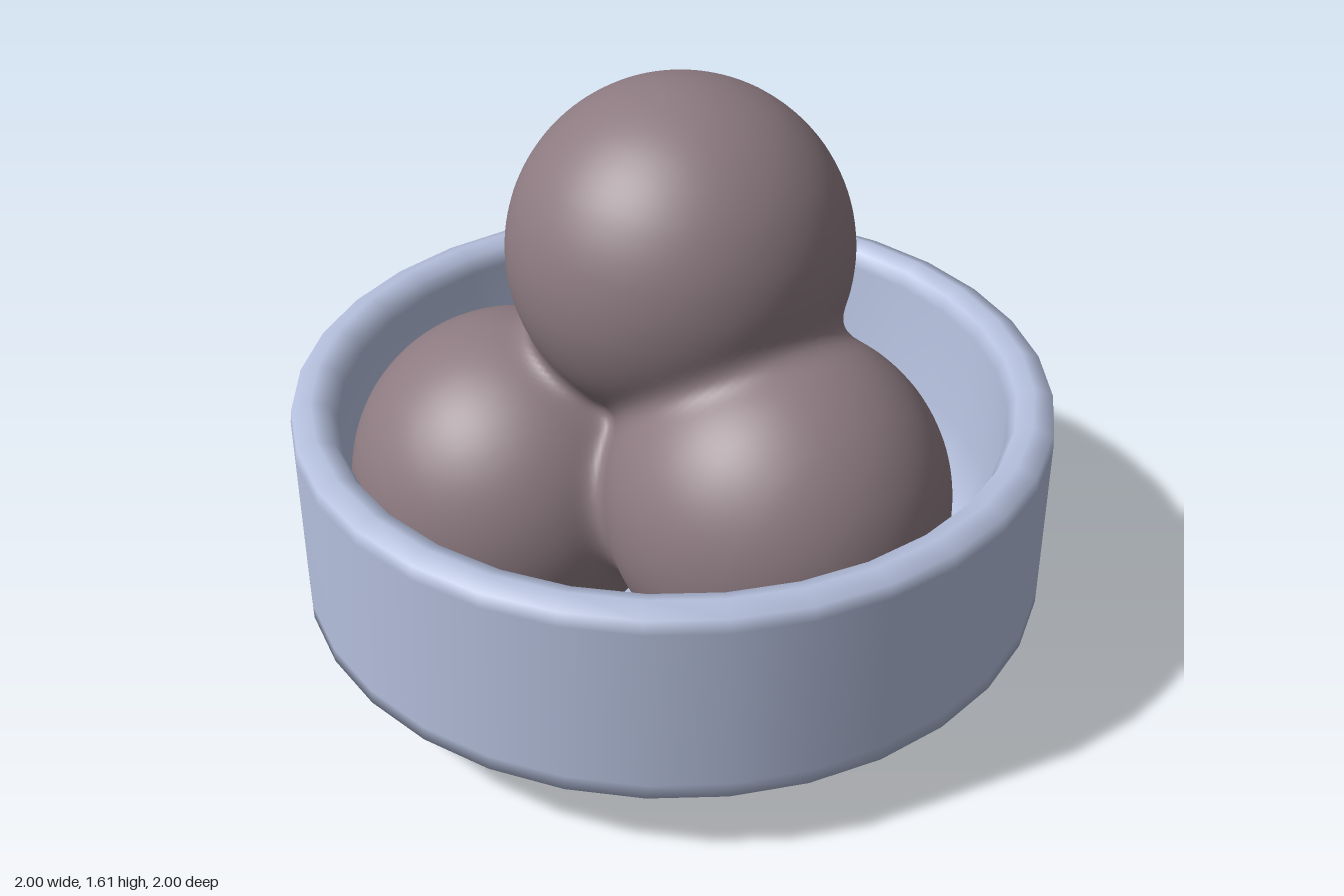
import * as THREE from 'three';
import { mergeVertices } from 'three/addons/utils/BufferGeometryUtils.js';

const R = 0.44; // radius of every scoop
const SCOOPS = [
  [-0.01, 1.165, 0.04],
  [-0.03, 0.62, 0.43],
  [0.31, 0.475, -0.26],
  [-0.33, 0.48, -0.26],
].map((c) => new THREE.Vector3(...c));

// distance to the softly merged scoops
function scoopDistance(p) {
  const k = 0.07;
  return SCOOPS.map((c) => p.distanceTo(c) - R).reduce((a, b) => {
    const h = Math.max(k - Math.abs(a - b), 0) / k;
    return Math.min(a, b) - h * h * k * 0.25;
  });
}

// a fine ball whose vertices are drawn inwards until they meet the scoops
function scoopGeometry() {
  const ball = new THREE.IcosahedronGeometry(1, 44);
  ball.deleteAttribute('uv');
  ball.deleteAttribute('normal');
  const geo = mergeVertices(ball, 1e-5);
  const pos = geo.attributes.position;
  const centre = new THREE.Vector3(-0.01, 0.68, 0);
  const dir = new THREE.Vector3();
  const p = new THREE.Vector3();
  for (let i = 0; i < pos.count; i++) {
    dir.fromBufferAttribute(pos, i).normalize();
    let t = 1.4;
    for (let n = 0; n < 80; n++) {
      const d = scoopDistance(p.copy(centre).addScaledVector(dir, t));
      if (d < 0.0005 || t < 0.05) break;
      t -= d;
    }
    p.copy(centre).addScaledVector(dir, t);
    pos.setXYZ(i, p.x, p.y, p.z);
  }
  geo.computeVertexNormals();
  return geo;
}

// closed bowl profile: underside, foot, outer wall, rim, inner wall, floor
function bowlGeometry() {
  const profile = [
    [0, 0.065], [0.48, 0.06], [0.56, 0.02], [0.61, 0], [0.77, 0.03],
    [0.85, 0.16], [1, 0.21], [1, 0.25], [1, 0.7], [0.995, 0.738],
    [0.945, 0.757], [0.9, 0.74], [0.88, 0.7], [0.865, 0.4],
    [0.81, 0.24], [0.68, 0.14], [0.5, 0.1], [0, 0.1],
  ];
  return new THREE.LatheGeometry(profile.map(([r, y]) => new THREE.Vector2(r, y)), 32);
}

export function createModel() {
  const glaze = new THREE.MeshStandardMaterial({ color: 0xb4bfdc });
  glaze.name = 'pale blue glaze';
  const cocoa = new THREE.MeshStandardMaterial({ color: 0x8c7a80 });
  cocoa.name = 'cocoa';

  const group = new THREE.Group();
  group.name = 'bowlOfScoops';

  const bowl = new THREE.Mesh(bowlGeometry(), glaze);
  bowl.name = 'bowl';
  const scoops = new THREE.Mesh(scoopGeometry(), cocoa);
  scoops.name = 'scoops';
  group.add(bowl, scoops);
  return group;
}
